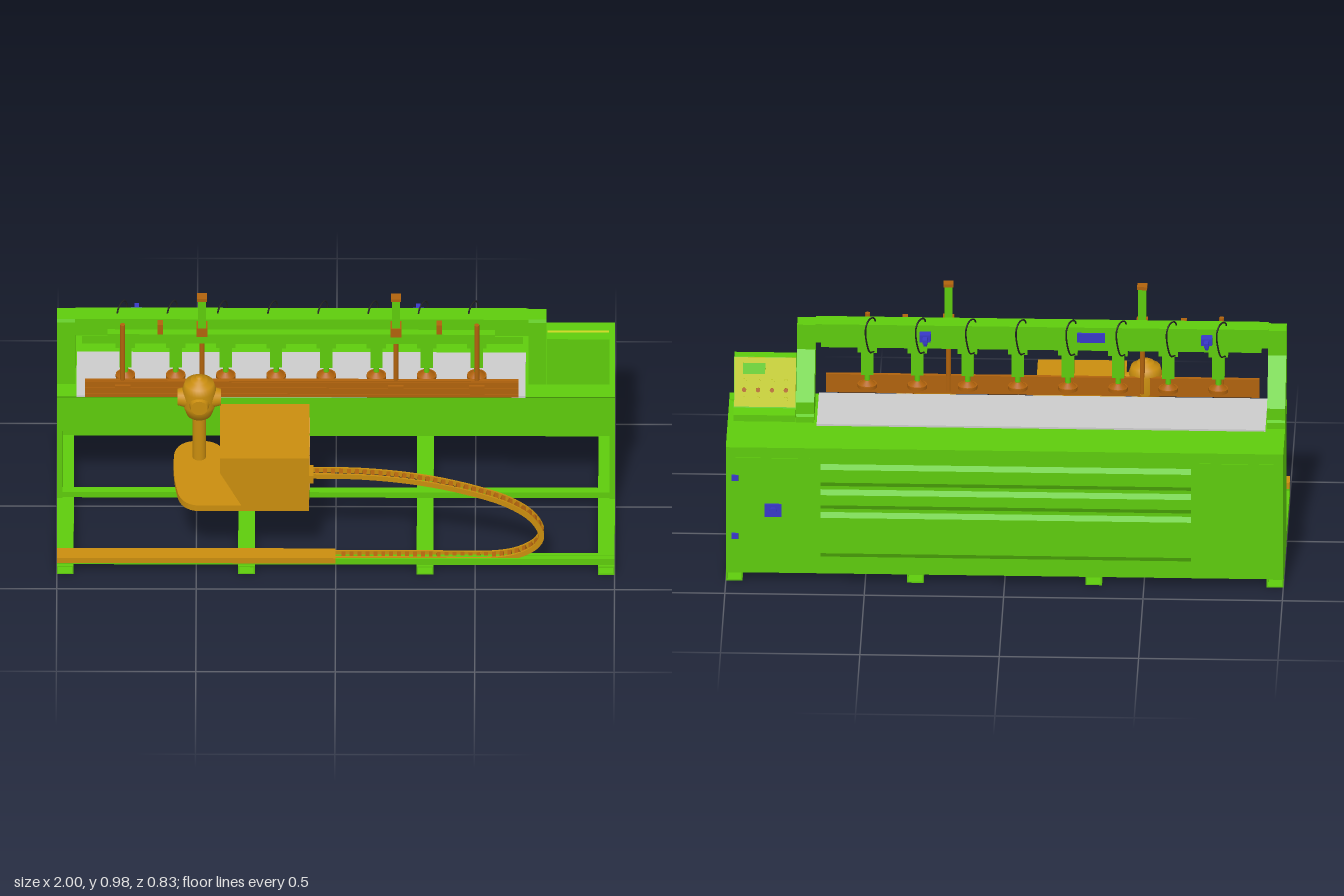
import * as THREE from 'three';

const mat = (color) => new THREE.MeshStandardMaterial({ color, side: THREE.DoubleSide });
const GREEN = mat(0x5ecb0c), ORANGE = mat(0xc98d0e), RUST = mat(0xb0620c), BLUE = mat(0x3838c8);
const YELLOW = mat(0xc3cc14), BLACK = mat(0x222222), GREY = mat(0xcccccc);

export function createModel() {
  const root = new THREE.Group();
  let parent = root;
  const add = (name, geo, m) => {
    const mesh = new THREE.Mesh(geo, m);
    mesh.name = name;
    parent.add(mesh);
    return mesh;
  };
  const group = (name, build) => {
    const g = new THREE.Group();
    g.name = name;
    root.add(g);
    parent = g;
    build();
    parent = root;
  };
  // box given by its extents
  const box = (name, m, x0, x1, y0, y1, z0, z1) => {
    const b = add(name, new THREE.BoxGeometry(x1 - x0, y1 - y0, z1 - z0), m);
    b.position.set((x0 + x1) / 2, (y0 + y1) / 2, (z0 + z1) / 2);
    return b;
  };
  // upright cylinder from y0 to y1
  const post = (name, m, x, z, y0, y1, r0, r1 = r0) => {
    const c = add(name, new THREE.CylinderGeometry(r1, r0, y1 - y0, 20), m);
    c.position.set(x, (y0 + y1) / 2, z);
    return c;
  };
  // profile of [z, y] points pushed along x
  const sideProfile = (name, m, pts, x0, x1) => {
    const s = new THREE.Shape(pts.map(([z, y]) => new THREE.Vector2(-z, y)));
    const e = add(name, new THREE.ExtrudeGeometry(s, { depth: x1 - x0, bevelEnabled: false }), m);
    e.rotation.y = Math.PI / 2;
    e.position.x = x0;
    return e;
  };

  // floor frame of open square tubes and long rails
  group('floorFrame', () => {
    for (const x of [-0.97, -0.32, 0.32, 0.97]) {
      const a = x - 0.03, b = x + 0.03;
      box('tubeTop', GREEN, a, b, 0.031, 0.036, -0.39, 0.41);
      box('tubeBottom', GREEN, a, b, 0, 0.005, -0.39, 0.41);
      box('tubeSide', GREEN, a, a + 0.005, 0.005, 0.031, -0.39, 0.41);
      box('tubeSide', GREEN, b - 0.005, b, 0.005, 0.031, -0.39, 0.41);
    }
    box('innerRail', GREEN, -0.98, 0.98, 0.036, 0.06, -0.035, -0.005);
    box('frontRail', GREEN, -1, 1, 0.036, 0.062, 0.38, 0.4);
    box('frontRail', GREEN, -1, 1, 0.036, 0.05, 0.347, 0.362);
    box('chainTray', ORANGE, -1, 0, 0.045, 0.068, 0.345, 0.405);
  });

  // cabinet, open below and at the lower front
  group('cabinet', () => {
    box('sidePanel', GREEN, -1, -0.98, 0.035, 0.515, -0.395, 0);
    box('sidePanel', GREEN, 0.98, 1, 0.035, 0.515, -0.395, 0);
    box('backPanel', GREEN, -0.98, 0.98, 0.035, 0.515, -0.395, -0.38);
    box('frontPanel', GREEN, -0.98, 0.98, 0.335, 0.515, -0.015, 0);
    box('tableTop', GREEN, -1, 1, 0.515, 0.53, -0.395, 0);
    sideProfile('frontLip', GREEN, [[0, 0.495], [0.055, 0.525], [0.06, 0.533], [0, 0.533]], -1, 1);
    for (const [y0, y1] of [[0.1, 0.28], [0.29, 0.37], [0.38, 0.47]]) {
      sideProfile('backCover', GREEN, [[-0.394, y0], [-0.394, y1], [-0.406, y1 - 0.02], [-0.406, y0 + 0.02]], -0.67, 0.66);
    }
    for (const [a, b] of [[0.7, 0.965], [-0.965, -0.7]]) box('backDoor', GREEN, a, b, 0.07, 0.49, -0.398, -0.39);
    box('mainSwitch', BLUE, 0.8, 0.86, 0.26, 0.31, -0.405, -0.39);
    const knob = add('switchKnob', new THREE.CylinderGeometry(0.014, 0.014, 0.02, 16), BLUE);
    knob.rotation.x = Math.PI / 2;
    knob.position.set(0.83, 0.285, -0.405);
    for (const y of [0.17, 0.4]) box('doorLock', BLUE, 0.955, 0.98, y, y + 0.022, -0.402, -0.39);
    box('workSheet', GREY, -0.93, 0.68, 0.53, 0.537, -0.205, 0.06);
  });

  // portal: uprights, beam and front rails
  group('portal', () => {
    const prof = [[0.03, 0.84], [0.025, 0.852], [-0.04, 0.852], [-0.04, 0.755], [-0.17, 0.605], [-0.17, 0.56],
      [-0.18, 0.553], [-0.18, 0.53], [-0.02, 0.53], [-0.02, 0.605], [0.03, 0.635]];
    sideProfile('leftUpright', GREEN, prof, 0.69, 0.755);
    sideProfile('rightUpright', GREEN, prof, -1, -0.935);
    box('crossBeam', GREEN, -0.935, 0.69, 0.783, 0.855, -0.04, 0.03);
    box('clampRail', GREEN, -0.91, 0.67, 0.75, 0.783, -0.01, 0.035);
    box('frontRail', GREEN, -0.82, 0.57, 0.785, 0.81, 0.03, 0.06);
  });

  // eight clamps with their air hoses
  for (let i = 0; i < 8; i++) {
    const x = -0.755 + 0.18 * i;
    group('clamp', () => {
      box('clampHead', GREEN, x - 0.035, x + 0.035, 0.73, 0.75, -0.01, 0.035);
      box('clampBody', GREEN, x - 0.022, x + 0.022, 0.64, 0.73, -0.005, 0.03);
      post('clampRod', GREEN, x, 0.013, 0.6, 0.64, 0.01);
      post('clampPad', RUST, x, 0.013, 0.585, 0.598, 0.035);
      post('padHub', RUST, x, 0.013, 0.598, 0.613, 0.03, 0.012);
      const path = [[0, -0.005, 0.85], [0.003, -0.012, 0.866], [0.012, -0.03, 0.878], [0.025, -0.055, 0.876],
        [0.033, -0.069, 0.855], [0.033, -0.069, 0.82], [0.02, -0.055, 0.755], [0.005, -0.02, 0.74]]
        .map(([dx, z, y]) => new THREE.Vector3(x - 0.03 + dx, y, z));
      add('airHose', new THREE.TubeGeometry(new THREE.CatmullRomCurve3(path), 32, 0.003, 6), BLACK);
    });
  }

  // air regulators and valve block behind the beam
  group('airRegulators', () => {
    for (const x of [-0.715, 0.295]) {
      box('regulator', BLUE, x - 0.02, x + 0.02, 0.805, 0.832, -0.075, -0.04);
      box('regulatorPort', BLUE, x - 0.008, x + 0.008, 0.81, 0.827, -0.105, -0.075);
      post('regulatorCup', BLUE, x, -0.052, 0.78, 0.805, 0.006, 0.012);
    }
    box('valveBlock', BLUE, -0.35, -0.25, 0.8, 0.835, -0.05, -0.04);
  });

  // lifting fence with cylinders and guide rods
  group('fence', () => {
    box('fenceBoard', RUST, -0.9, 0.655, 0.54, 0.612, 0.058, 0.072);
    for (const y of [0.545, 0.572, 0.598]) box('fenceRib', RUST, -0.9, 0.655, y, y + 0.01, 0.072, 0.075);
    for (const x of [-0.48, 0.215]) {
      box('liftCylinder', GREEN, x - 0.014, x + 0.014, 0.78, 0.968, 0.045, 0.075);
      box('cylinderCap', RUST, x - 0.018, x + 0.018, 0.968, 0.98, 0.042, 0.078);
      box('cylinderMount', RUST, x - 0.02, x + 0.02, 0.81, 0.848, 0.03, 0.077);
      post('liftRod', RUST, x, 0.062, 0.55, 0.78, 0.009);
    }
    for (const x of [-0.765, 0.505]) post('guideRod', RUST, x, 0.062, 0.55, 0.855, 0.009);
    for (const x of [-0.63, 0.37]) box('stopBlock', RUST, x - 0.01, x + 0.01, 0.81, 0.852, 0.03, 0.06);
    for (const x of [-0.765, 0.215, 0.505]) box('rodBracket', RUST, x - 0.028, x + 0.028, 0.56, 0.595, 0.06, 0.08);
  });

  // control desk with a sloped panel facing the back
  group('controlDesk', () => {
    sideProfile('deskBody', GREEN, [[-0.02, 0.53], [-0.02, 0.732], [-0.06, 0.732], [-0.125, 0.56],
      [-0.175, 0.555], [-0.175, 0.53]], 0.757, 0.98);
    const panel = new THREE.Group();
    panel.name = 'controlPanel';
    panel.position.set(0.868, 0.648, -0.096);
    panel.rotation.x = Math.atan2(0.065, 0.172);
    parent.add(panel);
    parent = panel;
    box('panelPlate', YELLOW, -0.11, 0.11, -0.088, 0.09, -0.006, 0.004);
    box('display', GREEN, 0.0, 0.08, 0.03, 0.07, -0.008, -0.005);
    for (let r = 0; r < 3; r++) for (let c = 0; c < 4; c++) {
      const b = add('button', new THREE.CylinderGeometry(0.008, 0.008, 0.012, 12), r === 1 ? RUST : YELLOW);
      b.rotation.x = Math.PI / 2;
      b.position.set(-0.075 + 0.05 * c, 0.005 - 0.032 * r, -0.01);
    }
  });

  // travelling carriage: base plate, housing and glazing marks
  group('carriage', () => {
    const p = new THREE.Shape();
    p.moveTo(-0.095, -0.41);
    p.lineTo(-0.5, -0.41);
    p.quadraticCurveTo(-0.55, -0.4, -0.565, -0.34);
    p.quadraticCurveTo(-0.588, -0.22, -0.58, -0.1);
    p.quadraticCurveTo(-0.57, -0.02, -0.49, -0.018);
    p.quadraticCurveTo(-0.42, -0.02, -0.405, -0.075);
    p.lineTo(-0.095, -0.075);
    const plate = add('basePlate', new THREE.ExtrudeGeometry(p, { depth: 0.025, bevelEnabled: false }), ORANGE);
    plate.rotation.x = -Math.PI / 2;
    plate.position.y = 0.281;
    const h = new THREE.Shape([[-0.415, 0.515], [-0.415, 0.45], [-0.33, 0.29], [-0.095, 0.29], [-0.095, 0.515]]
      .map((q) => new THREE.Vector2(...q)));
    add('housing', new THREE.ExtrudeGeometry(h, { depth: 0.33, bevelEnabled: false }), ORANGE).position.z = 0.08;
    for (const y of [0.315, 0.39, 0.47]) for (const z of [0.15, 0.28]) for (const k of [-1, 0, 1]) {
      const s = box('glazingMark', ORANGE, -0.096, -0.093, y - 0.018, y + 0.018, z + k * 0.018 - 0.002, z + k * 0.018 + 0.002);
      s.rotation.x = -0.7;
    }
    box('chainBracket', ORANGE, -0.1, -0.08, 0.4, 0.435, 0.34, 0.405);
  });

  // spindle head on its column
  group('spindleHead', () => {
    const x = -0.49, z = 0.115;
    post('column', ORANGE, x, z, 0.3, 0.53, 0.024);
    const lathe = [[0, 0.495], [0.045, 0.5], [0.055, 0.53], [0.06, 0.545], [0.06, 0.61], [0.052, 0.636],
      [0.03, 0.642], [0.03, 0.652], [0.012, 0.654], [0.012, 0.662], [0, 0.662]].map((q) => new THREE.Vector2(...q));
    add('headBody', new THREE.LatheGeometry(lathe, 32), ORANGE).position.set(x, 0, z);
    const boss = (name, dx, dz, len) => {
      const b = add(name, new THREE.CylinderGeometry(0.03, 0.05, len, 24), ORANGE);
      b.quaternion.setFromUnitVectors(new THREE.Vector3(0, 1, 0), new THREE.Vector3(dx, 0, dz));
      b.position.set(x + dx * len / 2, 0.572, z + dz * len / 2);
    };
    boss('frontBoss', 0, 1, 0.07);
    boss('leftBoss', 1, 0, 0.078);
    boss('rightBoss', -1, 0, 0.078);
    boss('rearBoss', 0, -1, 0.04);
  });

  // cable chain: two side bands joined by rungs
  group('cableChain', () => {
    const curve = new THREE.CatmullRomCurve3([[0, 0.055], [0.3, 0.055], [0.58, 0.056], [0.66, 0.075], [0.72, 0.115],
      [0.738, 0.16], [0.705, 0.23], [0.62, 0.295], [0.48, 0.35], [0.3, 0.395], [0.1, 0.42], [-0.095, 0.425]]
      .map(([x, y]) => new THREE.Vector3(x, y, 0)));
    const pts = curve.getSpacedPoints(90), h = 0.01;
    const edge = (s) => pts.map((q, i) => {
      const t = curve.getTangentAt(i / 90);
      return new THREE.Vector2(q.x - t.y * s, q.y + t.x * s);
    });
    const band = new THREE.Shape([...edge(h), ...edge(-h).reverse()]);
    const geo = new THREE.ExtrudeGeometry(band, { depth: 0.007, bevelEnabled: false });
    for (const z of [0.35, 0.388]) add('chainSide', geo, ORANGE).position.z = z;
    const rung = new THREE.BoxGeometry(0.014, 0.016, 0.036);
    for (let i = 1; i < 60; i++) {
      const u = i / 60, t = curve.getTangentAt(u);
      const r = add('chainRung', rung, RUST);
      r.position.copy(curve.getPointAt(u)).setZ(0.3725);
      r.rotation.z = Math.atan2(t.y, t.x);
    }
  });
  return root;
}
